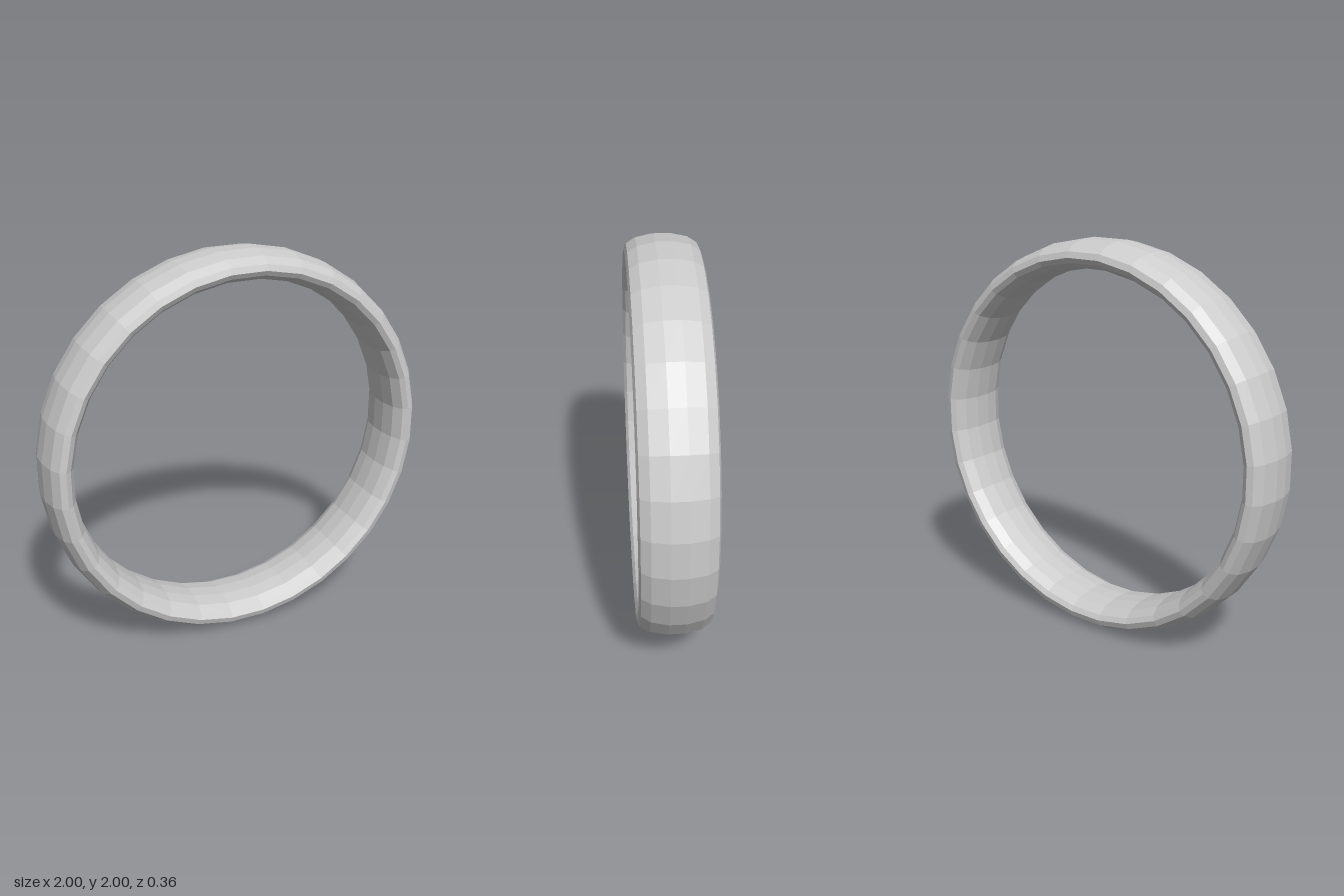
import * as THREE from 'three';

export function createModel() {
  const group = new THREE.Group();
  const segments = 32;

  // Closed band cross-section (radius, offset along the axis): domed outside, rounded rims, softly curved inside
  const profile = [
    [0.925, -0.18], [0.955, -0.17], [0.985, -0.125], [1.003, -0.04],
    [1.003, 0.04], [0.985, 0.125], [0.955, 0.17], [0.925, 0.18],
    [0.9, 0.165], [0.872, 0.115], [0.859, 0.04],
    [0.859, -0.04], [0.872, -0.115], [0.9, -0.165], [0.925, -0.18],
  ].map(([r, a]) => new THREE.Vector2(r, a));

  // Ring band, turned so that its axis points to the front
  const geometry = new THREE.LatheGeometry(profile, segments, Math.PI / segments);
  geometry.rotateX(Math.PI / 2);
  const band = new THREE.Mesh(
    geometry,
    new THREE.MeshStandardMaterial({ color: 0xcccccc, flatShading: true })
  );
  band.name = 'ringBand';
  band.position.y = 1;
  group.add(band);
  return group;
}
